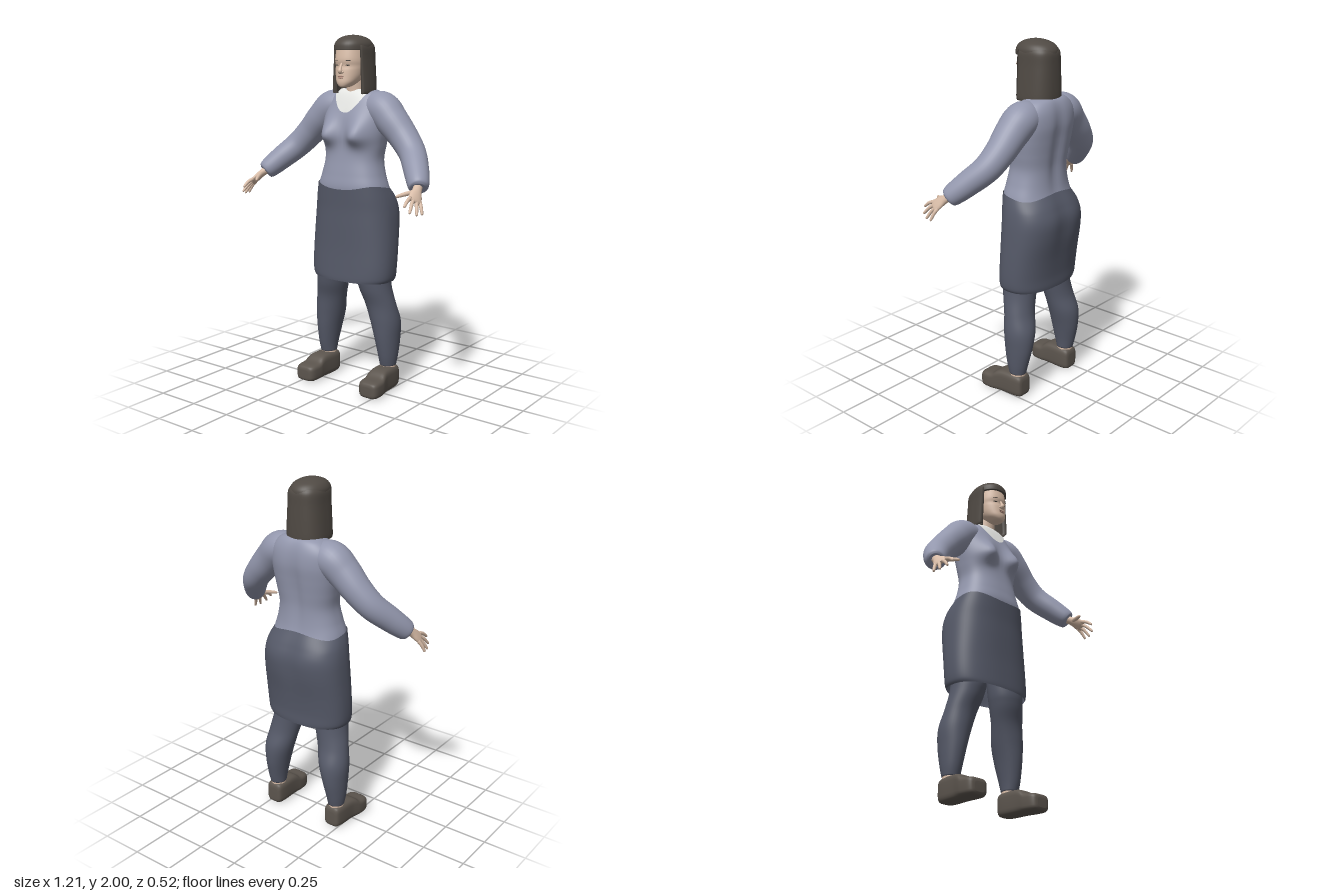
import * as THREE from 'three';

const mat = (name, color, side = THREE.FrontSide) => {
  const m = new THREE.MeshStandardMaterial({ color, side });
  m.name = name;
  return m;
};

// Smoothly resample rows of numbers (Catmull-Rom on every component)
function sample(keys, steps) {
  const rows = [];
  const last = keys.length - 1;
  for (let i = 0; i < last; i++) {
    const [p, a, b, q] = [keys[Math.max(i - 1, 0)], keys[i], keys[i + 1], keys[Math.min(i + 2, last)]];
    for (let s = 0; s < steps; s++) {
      const t = s / steps;
      rows.push(a.map((v, k) => v + 0.5 * t * (b[k] - p[k]
        + t * (2 * p[k] - 5 * v + 4 * b[k] - q[k] + t * (3 * (v - b[k]) + q[k] - p[k])))));
    }
  }
  rows.push(keys[last]);
  return rows;
}

// Skin a list of rings of points; closed rings may be capped at both ends
function skin(rings, { closed = true, caps = true } = {}) {
  const n = rings[0].length, pos = rings.flat(2), idx = [];
  for (let i = 0; i < rings.length - 1; i++) {
    for (let j = 0; j < (closed ? n : n - 1); j++) {
      const a = i * n + j, b = i * n + (j + 1) % n;
      idx.push(a, a + n, b, b, a + n, b + n);
    }
  }
  if (closed && caps) {
    [0, rings.length - 1].forEach((r) => {
      const c = pos.length / 3;
      pos.push(...[0, 1, 2].map((k) => rings[r].reduce((s, p) => s + p[k], 0) / n));
      for (let j = 0; j < n; j++) {
        const a = r * n + j, b = r * n + (j + 1) % n;
        idx.push(...(r ? [a, c, b] : [a, b, c]));
      }
    });
  }
  const g = new THREE.BufferGeometry();
  g.setAttribute('position', new THREE.Float32BufferAttribute(pos, 3));
  g.setIndex(idx);
  g.computeVertexNormals();
  return g;
}

const pow = (v, e) => Math.sign(v) * Math.abs(v) ** (2 / e);
const angles = (n) => Array.from({ length: n }, (_, j) => (j / n) * Math.PI * 2);

// Horizontal ring from [y, half width, front z, back z, centre x]
function level([y, a, zf, zb, xc = 0], e, n, warp = (p) => p) {
  return angles(n).map((t) => warp([
    xc + a * pow(Math.cos(t), e), y, (zf + zb) / 2 + (zf - zb) / 2 * pow(Math.sin(t), e)], t));
}
const stack = (keys, { e = 2, n = 40, steps = 6, warp, ...opt } = {}) =>
  skin(sample(keys, steps).map((r) => level(r, e, n, warp)), opt);

// Limb along a path of [x, y, z, radius, second radius]
function limb(keys, { ref = [0, 0, 1], n = 20, steps = 6 } = {}) {
  const rows = sample(keys, steps), R = new THREE.Vector3(...ref);
  return skin(rows.map((r, i) => {
    const d = new THREE.Vector3(...rows[Math.min(i + 1, rows.length - 1)])
      .sub(new THREE.Vector3(...rows[Math.max(i - 1, 0)])).normalize();
    const U = R.clone().addScaledVector(d, -R.dot(d)).normalize();
    const V = U.clone().cross(d);
    return angles(n).map((t) => new THREE.Vector3(r[0], r[1], r[2])
      .addScaledVector(U, r[3] * Math.cos(t))
      .addScaledVector(V, (r[4] ?? r[3]) * Math.sin(t)).toArray());
  }));
}

const gauss = (v, s) => Math.exp(-((v / s) ** 2));
const bust = (x, y) => 0.064 * gauss(Math.abs(x) - 0.098, 0.062) * gauss(y - 1.455, y < 1.455 ? 0.055 : 0.085);

export function createModel() {
  const model = new THREE.Group();
  const M = {
    sweater: mat('sweater blue grey', 0x9397ad),
    skirt: mat('dark slate', 0x565a69, THREE.DoubleSide),
    hair: mat('dark brown hair', 0x504a44),
    shoe: mat('brown shoe', 0x5c554e),
    skin: mat('skin', 0xd9bda8),
    blouse: mat('off white', 0xe4e5e2, THREE.DoubleSide),
    lips: mat('lips', 0xb58f80),
  };
  const add = (name, geo, m, parent = model) => {
    const mesh = new THREE.Mesh(geo, m);
    mesh.name = name;
    parent.add(mesh);
    return mesh;
  };

  // Sweater body with bust and spine groove
  const E = 2.4;
  const torso = [
    [1.10, 0.222, 0.072, -0.222], [1.17, 0.211, 0.082, -0.199], [1.24, 0.189, 0.072, -0.19],
    [1.32, 0.173, 0.058, -0.19], [1.40, 0.183, 0.048, -0.2], [1.48, 0.195, 0.042, -0.212],
    [1.56, 0.2, 0.03, -0.222], [1.63, 0.19, 0.006, -0.217], [1.68, 0.15, -0.018, -0.2],
    [1.703, 0.1, -0.04, -0.175], [1.71, 0.04, -0.06, -0.13]];
  add('sweaterBody', stack(torso, {
    e: E, n: 72, steps: 8,
    warp: ([x, y, z], t) => [x, y, z + (Math.sin(t) > 0 ? bust(x, y)
      : 0.018 * gauss(x, 0.04) * gauss(y - 1.42, 0.24))],
  }), M.sweater);

  // Blouse showing in the scooped neckline
  const scoop = sample(torso, 12).filter((r) => r[0] > 1.573 && r[0] < 1.706).map(([y, a, zf, zb]) => {
    const w = Math.min(0.108 * Math.sqrt(Math.max(y - 1.576, 0) / 0.115), a * 0.88);
    return Array.from({ length: 17 }, (_, j) => {
      const x = w * (1 - j / 8);
      const z = (zf + zb) / 2 + (zf - zb) / 2 * (1 - Math.abs(x / a) ** E) ** (1 / E);
      return [x, y + 0.003, z + bust(x, y) + 0.004];
    });
  });
  add('blouse', skin(scoop, { closed: false }), M.blouse);

  // Skirt, open at the hem, with a slightly uneven waistline
  add('skirt', stack([
    [0.637, 0.246, 0.084, -0.212], [0.66, 0.258, 0.085, -0.215], [0.72, 0.263, 0.083, -0.219],
    [0.82, 0.262, 0.08, -0.234], [0.95, 0.255, 0.08, -0.26], [1.04, 0.247, 0.08, -0.266],
    [1.11, 0.234, 0.083, -0.243], [1.172, 0.214, 0.086, -0.203]], {
    e: E, n: 64, caps: false,
    warp: ([x, y, z], t) => [x,
      y + 0.012 * Math.max(0, (y - 1.1) / 0.07) * Math.sin(3 * t),
      z + (Math.sin(t) < 0 ? 0.014 * gauss(x, 0.06) * gauss(y - 1.04, 0.16) : 0)],
  }), M.skirt);

  // Head and neck
  const head = new THREE.Group();
  head.name = 'head';
  model.add(head);
  add('neck', stack([[1.66, 0.06, -0.02, -0.14], [1.70, 0.053, -0.022, -0.13], [1.78, 0.052, -0.015, -0.13]]), M.skin, head);
  add('face', stack([
    [1.718, 0.014, 0.048, 0.01], [1.724, 0.032, 0.06, -0.02], [1.745, 0.054, 0.066, -0.06],
    [1.775, 0.07, 0.064, -0.11], [1.81, 0.079, 0.061, -0.14], [1.835, 0.083, 0.056, -0.15],
    [1.87, 0.085, 0.061, -0.155], [1.94, 0.078, 0.05, -0.15]], { e: 2.2 }), M.skin, head);
  add('nose', limb([[0, 1.85, 0.053, 0.006], [0, 1.825, 0.065, 0.008], [0, 1.807, 0.07, 0.013], [0, 1.797, 0.06, 0.01]],
    { ref: [1, 0, 0], n: 12 }), M.skin, head);
  const dot = (name, m, [x, y, z], [a, b, c], tilt = 0) => {
    const d = add(name, new THREE.SphereGeometry(1, 14, 8), m, head);
    d.position.set(x, y, z);
    d.scale.set(a, b, c);
    d.rotation.y = tilt;
  };
  dot('upperLip', M.lips, [0, 1.778, 0.065], [0.022, 0.004, 0.004]);
  dot('lowerLip', M.lips, [0, 1.77, 0.065], [0.018, 0.005, 0.005]);
  for (const s of [1, -1]) {
    dot('eye', M.hair, [s * 0.036, 1.838, 0.048], [0.013, 0.0035, 0.004], s * 0.4);
    dot('eyebrow', M.hair, [s * 0.038, 1.863, 0.05], [0.018, 0.0025, 0.004], s * 0.4);
    dot('nostrilWing', M.skin, [s * 0.011, 1.801, 0.061], [0.008, 0.007, 0.009]);
  }

  // Hair: crown with fringe, and a thick curtain round the sides and back
  add('hairCrown', stack([
    [1.918, 0.097, 0.066, -0.178], [1.95, 0.095, 0.063, -0.174], [1.975, 0.079, 0.044, -0.152],
    [1.99, 0.054, 0.014, -0.117], [1.998, 0.026, -0.02, -0.08], [2.0, 0.004, -0.045, -0.055]], { e: 2.1 }), M.hair, head);
  const curtain = sample([
    [1.682, 0.106, 0.055, -0.176], [1.70, 0.111, 0.06, -0.182], [1.78, 0.107, 0.06, -0.182],
    [1.87, 0.101, 0.06, -0.18], [1.93, 0.098, 0.06, -0.178], [1.955, 0.088, 0.05, -0.165]], 5).map(([y, a, zf, zb]) => {
    const arc = (k) => Array.from({ length: 33 }, (_, j) => {
      const t = Math.PI * (0.86 + 1.28 * j / 32);
      return [k * a * pow(Math.cos(t), 2.6), y, (zf + zb) / 2 + k * (zf - zb) / 2 * pow(Math.sin(t), 2.6)];
    });
    return [...arc(1), ...arc(0.82).reverse()];
  });
  add('hairCurtain', skin(curtain, { caps: false }), Object.assign(M.hair, { side: THREE.DoubleSide }), head);

  // Arms, hands, legs and shoes, mirrored
  for (const s of [1, -1]) {
    const side = s > 0 ? 'left' : 'right';
    const flip = (keys) => keys.map(([x, ...r]) => [x * s, ...r]);
    add(side + 'Sleeve', limb(flip([
      [0.07, 1.60, -0.1, 0.08], [0.165, 1.6, -0.095, 0.097], [0.24, 1.537, -0.085, 0.091],
      [0.32, 1.455, -0.078, 0.081], [0.395, 1.375, -0.05, 0.074], [0.463, 1.3, 0.018, 0.068],
      [0.51, 1.245, 0.072, 0.06], [0.527, 1.224, 0.094, 0.05], [0.53, 1.22, 0.098, 0.03]]), { n: 32, steps: 7 }), M.sweater);

    const hand = new THREE.Group();
    hand.name = side + 'Hand';
    model.add(hand);
    const spread = [0.43 * s, -0.39, -0.81];
    add('palm', limb(flip([
      [0.522, 1.232, 0.088, 0.026, 0.024], [0.535, 1.21, 0.12, 0.026, 0.02], [0.547, 1.187, 0.15, 0.037, 0.017],
      [0.557, 1.167, 0.173, 0.039, 0.013], [0.561, 1.159, 0.181, 0.03, 0.007]]), { ref: spread }), M.skin, hand);
    [[0.55, 1.145, 0.263], [0.573, 1.113, 0.247], [0.591, 1.098, 0.208], [0.599, 1.097, 0.168]].forEach((tip, i) => {
      const k = -0.03 + 0.02 * i;
      const base = [0.554 + 0.43 * k, 1.172 - 0.39 * k, 0.168 - 0.81 * k];
      const at = (t, lift, r) => [...base.map((v, c) => v + (tip[c] - v) * t + (c === 1 ? lift : 0)), r];
      add('finger', limb(flip([at(0, 0, 0.0105), at(0.5, 0.006, 0.0095), at(0.92, 0, 0.007), at(1, 0, 0.003)]),
        { ref: spread, n: 10, steps: 4 }), M.skin, hand);
    });
    add('thumb', limb(flip([[0.533, 1.207, 0.13, 0.013], [0.512, 1.2, 0.175, 0.012], [0.486, 1.19, 0.22, 0.009], [0.478, 1.186, 0.232, 0.004]]),
      { ref: [0, 1, 0], n: 10, steps: 4 }), M.skin, hand);

    add(side + 'Leg', stack([
      [0.14, 0.046, -0.05, -0.15, 0.215], [0.2, 0.055, -0.035, -0.166, 0.215], [0.3, 0.07, -0.018, -0.187, 0.208],
      [0.4, 0.086, -0.008, -0.19, 0.196], [0.5, 0.091, 0.003, -0.162, 0.175], [0.6, 0.096, 0.032, -0.152, 0.15],
      [0.7, 0.1, 0.04, -0.155, 0.137], [1.0, 0.1, 0.02, -0.18, 0.12]].map((k) => [...k.slice(0, 4), k[4] * s])), M.skirt);
    add(side + 'Ankle', stack([[0.1, 0.044, -0.05, -0.145, 0.215 * s], [0.15, 0.043, -0.053, -0.147, 0.215 * s]]), M.skin);

    // Shoe sections from heel to toe: [z, half width, top, bottom, centre x]
    add(side + 'Shoe', skin(sample([
      [-0.155, 0.028, 0.1, 0.025, 0.214], [-0.145, 0.048, 0.128, 0.006, 0.214], [-0.1, 0.056, 0.136, 0, 0.215],
      [-0.02, 0.058, 0.136, 0, 0.218], [0.018, 0.062, 0.126, 0, 0.221], [0.05, 0.066, 0.103, 0, 0.223],
      [0.1, 0.064, 0.097, 0, 0.225], [0.124, 0.052, 0.088, 0.006, 0.226], [0.131, 0.032, 0.07, 0.02, 0.226]], 4)
      .map(([z, a, top, low, xc]) => angles(32).map((t) => [
        s * xc + a * pow(Math.sin(t), 4), (top + low) / 2 + (top - low) / 2 * pow(Math.cos(t), 4), z]))), M.shoe);
  }
  return model;
}
